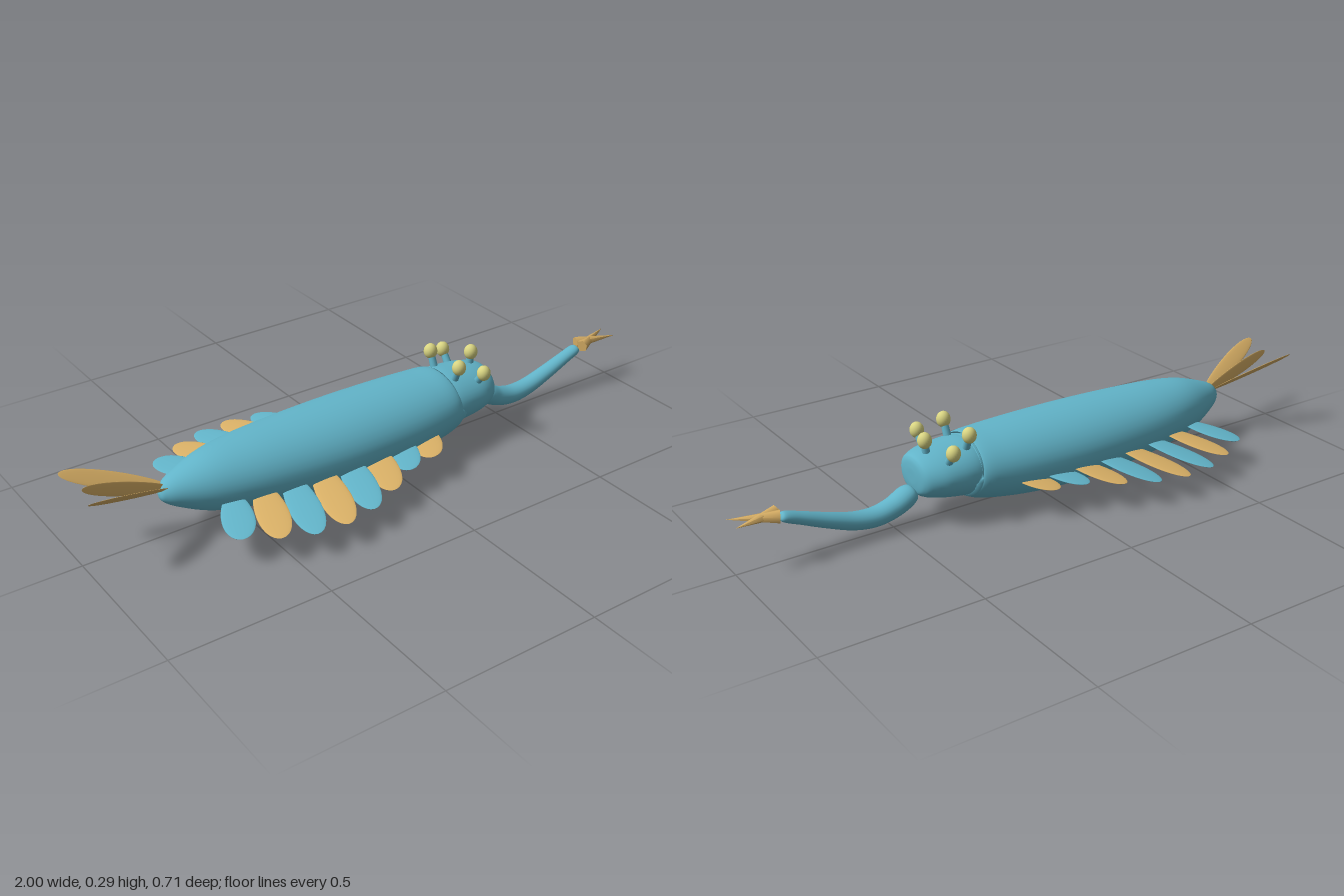
import * as THREE from 'three';

const V = (x, y, z) => new THREE.Vector3(x, y, z);

// Smooth skin through stations [x, y centre, half height, half width], square to the centre line
function loft(stations, steps = 64, sides = 40) {
  const high = new THREE.CatmullRomCurve3(stations.map(s => V(s[0], s[1], s[2])), false, 'catmullrom');
  const wide = new THREE.CatmullRomCurve3(stations.map(s => V(s[0], s[1], s[3])), false, 'catmullrom');
  const pos = [], index = [];
  for (let i = 0; i <= steps; i++) {
    const t = i / steps;
    const p = high.getPoint(t), w = Math.max(0, wide.getPoint(t).z), h = Math.max(0, p.z);
    const q = high.getPoint(Math.min(1, t + 0.01)).sub(high.getPoint(Math.max(0, t - 0.01)));
    q.z = 0;
    q.normalize();
    for (let j = 0; j < sides; j++) {
      const a = (j / sides) * Math.PI * 2, c = Math.cos(a) * h;
      pos.push(p.x - q.y * c, p.y + q.x * c, Math.sin(a) * w);
      if (i === steps) continue;
      const k = i * sides + j, n = i * sides + (j + 1) % sides;
      index.push(k, n, k + sides, n, n + sides, k + sides);
    }
  }
  const g = new THREE.BufferGeometry();
  g.setAttribute('position', new THREE.Float32BufferAttribute(pos, 3));
  g.setIndex(index);
  g.computeVertexNormals();
  return g;
}

// Flat leaf from root to tip, its face turned towards the given normal
function leaf(root, tip, normal, width, thick, bulge) {
  const g = new THREE.SphereGeometry(1, 24, 16);
  const p = g.attributes.position;
  for (let i = 0; i < p.count; i++) {
    const y = p.getY(i);
    p.setX(i, p.getX(i) * (1 + bulge * y)); // fuller towards the tip
  }
  const along = tip.clone().sub(root), len = along.length();
  along.normalize();
  const across = along.clone().cross(normal).normalize();
  const up = across.clone().cross(along).normalize();
  g.scale(width / 2, len / 2, thick / 2);
  g.computeVertexNormals();
  g.applyMatrix4(new THREE.Matrix4().makeBasis(across, along, up));
  const mid = root.clone().lerp(tip, 0.5);
  return g.translate(mid.x, mid.y, mid.z);
}

// Cylinder or cone between two points
function rod(a, b, r0, r1, sides) {
  const d = b.clone().sub(a), len = d.length();
  const g = new THREE.CylinderGeometry(r1, r0, len, sides);
  g.applyQuaternion(new THREE.Quaternion().setFromUnitVectors(V(0, 1, 0), d.normalize()));
  const m = a.clone().lerp(b, 0.5);
  return g.translate(m.x, m.y, m.z);
}

export function createModel() {
  const model = new THREE.Group();
  model.name = 'seaCreature';
  const mat = (name, color) => {
    const m = new THREE.MeshStandardMaterial({ color });
    m.name = name;
    return m;
  };
  const blue = mat('blueSkin', 0x62b4c9);
  const tan = mat('tanFin', 0xd9b066);
  const yellow = mat('yellowEye', 0xd8d482);
  const add = (name, geometry, material) => {
    const m = new THREE.Mesh(geometry, material);
    m.name = name;
    model.add(m);
    return m;
  };

  // Long rounded body, tail to neck
  add('body', loft([
    [-0.75, 0.145, 0, 0], [-0.74, 0.144, 0.025, 0.025], [-0.70, 0.142, 0.05, 0.055],
    [-0.6, 0.136, 0.087, 0.1], [-0.48, 0.131, 0.104, 0.132], [-0.33, 0.125, 0.115, 0.152],
    [-0.15, 0.122, 0.121, 0.163], [0.03, 0.125, 0.118, 0.16], [0.17, 0.133, 0.108, 0.148],
    [0.25, 0.142, 0.097, 0.13], [0.258, 0.143, 0.08, 0.1], [0.26, 0.143, 0, 0],
  ], 88), blue);

  // Blunt head
  add('head', loft([
    [0.23, 0.143, 0.085, 0.11], [0.27, 0.145, 0.087, 0.118], [0.32, 0.147, 0.082, 0.118],
    [0.37, 0.149, 0.075, 0.11], [0.41, 0.15, 0.066, 0.09], [0.428, 0.15, 0.054, 0.068],
    [0.434, 0.15, 0.03, 0.035], [0.435, 0.15, 0, 0],
  ], 56), blue);

  // Drooping trunk, tapering up to the claw
  add('trunk', loft([
    [0.425, 0.107, 0, 0], [0.432, 0.103, 0.022, 0.028], [0.455, 0.089, 0.032, 0.038],
    [0.5, 0.066, 0.032, 0.036], [0.56, 0.053, 0.03, 0.034], [0.63, 0.06, 0.027, 0.031],
    [0.71, 0.086, 0.023, 0.028], [0.79, 0.117, 0.019, 0.024], [0.845, 0.138, 0.015, 0.02],
    [0.855, 0.142, 0, 0],
  ], 56, 24), blue);

  // Crossed claw spikes
  for (const s of [1, -1]) {
    add('clawSpike', rod(V(0.862, 0.15, -0.016 * s), V(1, 0.16, 0.032 * s), 0.021, 0, 6), tan);
  }

  // Five stalked eyes: two pairs and one in the middle
  const eye = (base, centre) => {
    add('eyeStalk', rod(base, centre, 0.013, 0.011, 14), blue);
    const ball = add('eye', new THREE.SphereGeometry(0.022, 24, 16), yellow);
    ball.scale.y = 1.15;
    ball.position.copy(centre);
  };
  for (const s of [1, -1]) {
    eye(V(0.275, 0.205, 0.047 * s), V(0.275, 0.268, 0.073 * s));
    eye(V(0.35, 0.198, 0.075 * s), V(0.35, 0.24, 0.105 * s));
  }
  eye(V(0.385, 0.2, -0.01), V(0.39, 0.257, -0.01));

  // Overlapping side flaps in alternating colours: tip x, tip reach
  const flaps = [[-0.63, 0.26], [-0.535, 0.312], [-0.44, 0.348], [-0.34, 0.356],
    [-0.24, 0.338], [-0.14, 0.295], [-0.04, 0.24], [0.055, 0.222]];
  const flapY = z => 0.1 - (z - 0.14) * 0.1;
  for (const s of [1, -1]) {
    flaps.forEach(([x, reach], i) => {
      const g = leaf(V(x + 0.08, flapY(0.06), 0.06 * s), V(x, flapY(reach), reach * s),
        V(-0.15, 1, 0.1 * s), 0.094, 0.009, 0.2);
      add(s > 0 ? 'leftFlap' : 'rightFlap', g, i % 2 ? tan : blue);
    });
  }

  // Tail fan: two slanted blades and one upright
  for (const s of [1, -1]) {
    add('tailBlade', leaf(V(-0.71, 0.152, 0.005 * s), V(-1, 0.254, 0.097 * s),
      V(0.25, 0.65, -0.75 * s), 0.054, 0.006, 0.15), tan);
  }
  add('middleTailBlade', leaf(V(-0.71, 0.152, 0), V(-0.975, 0.243, 0), V(0, 0, 1), 0.045, 0.006, 0.15), tan);

  return model;
}
